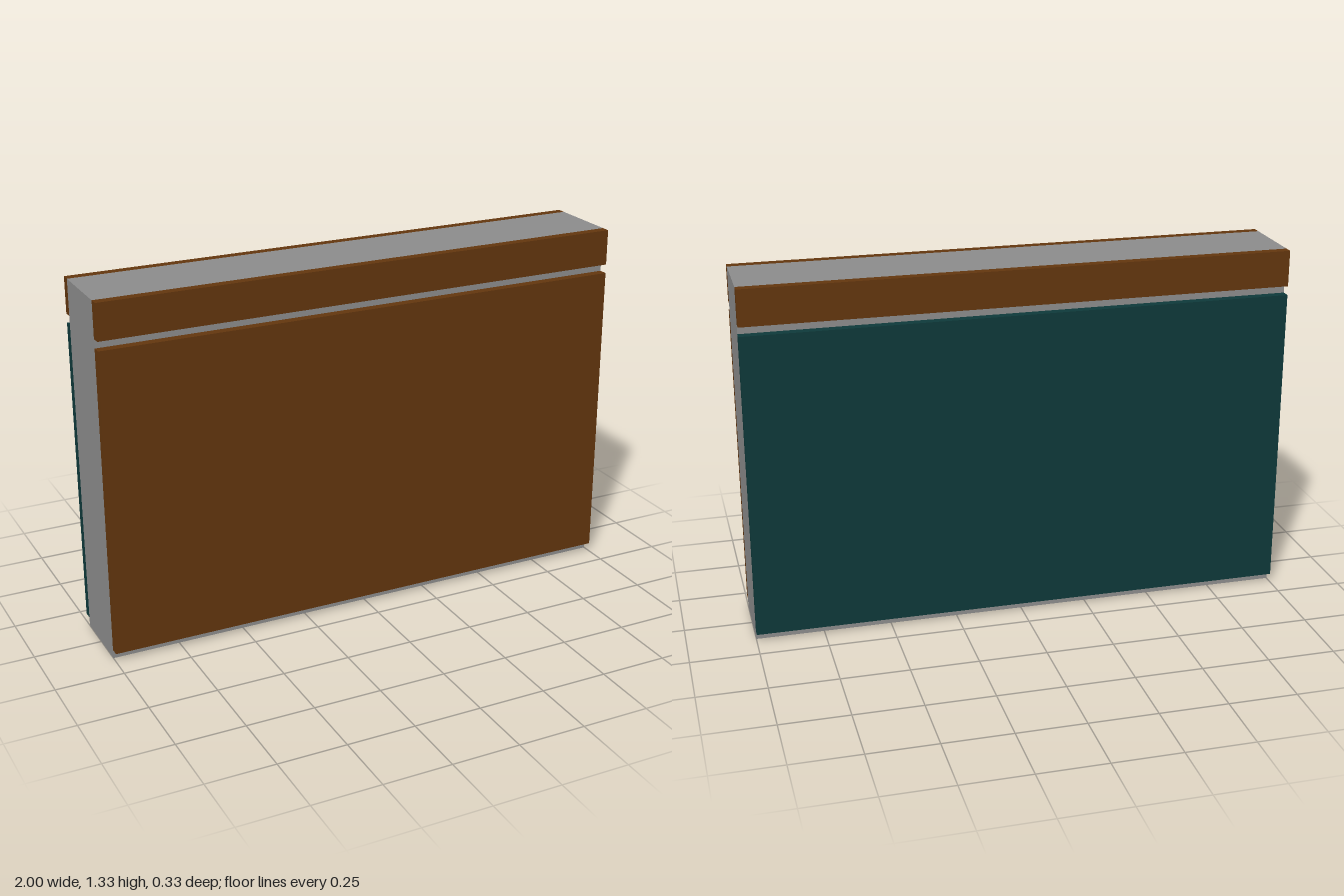
import * as THREE from 'three';

export function createModel() {
  const group = new THREE.Group();
  const mat = (name, color) => {
    const m = new THREE.MeshStandardMaterial({ color });
    m.name = name;
    return m;
  };
  const grey = mat('grey core', 0x8c8c8c);
  const brown = mat('brown wood', 0x63360e);
  const teal = mat('dark teal', 0x0e393a);

  // Box spanning the full width between given heights and depths
  const slab = (name, material, y0, y1, z0, z1) => {
    const mesh = new THREE.Mesh(new THREE.BoxGeometry(2, y1 - y0, z1 - z0), material);
    mesh.position.set(0, (y0 + y1) / 2, (z0 + z1) / 2);
    mesh.name = name;
    group.add(mesh);
  };

  const height = 1.3333, inner = 0.1333, outer = 0.1667;

  // Solid core
  slab('core', grey, 0, height, -inner, inner);

  // Large facing panels, with a shadow gap above and below
  slab('frontPanel', brown, 0.0333, 1.1667, inner, outer);
  slab('backPanel', teal, 0.0333, 1.1667, -outer, -inner);

  // Trim boards along the top edge
  slab('frontTopTrim', brown, 1.2, height, inner, outer);
  slab('backTopTrim', brown, 1.2, height, -outer, -inner);

  return group;
}
